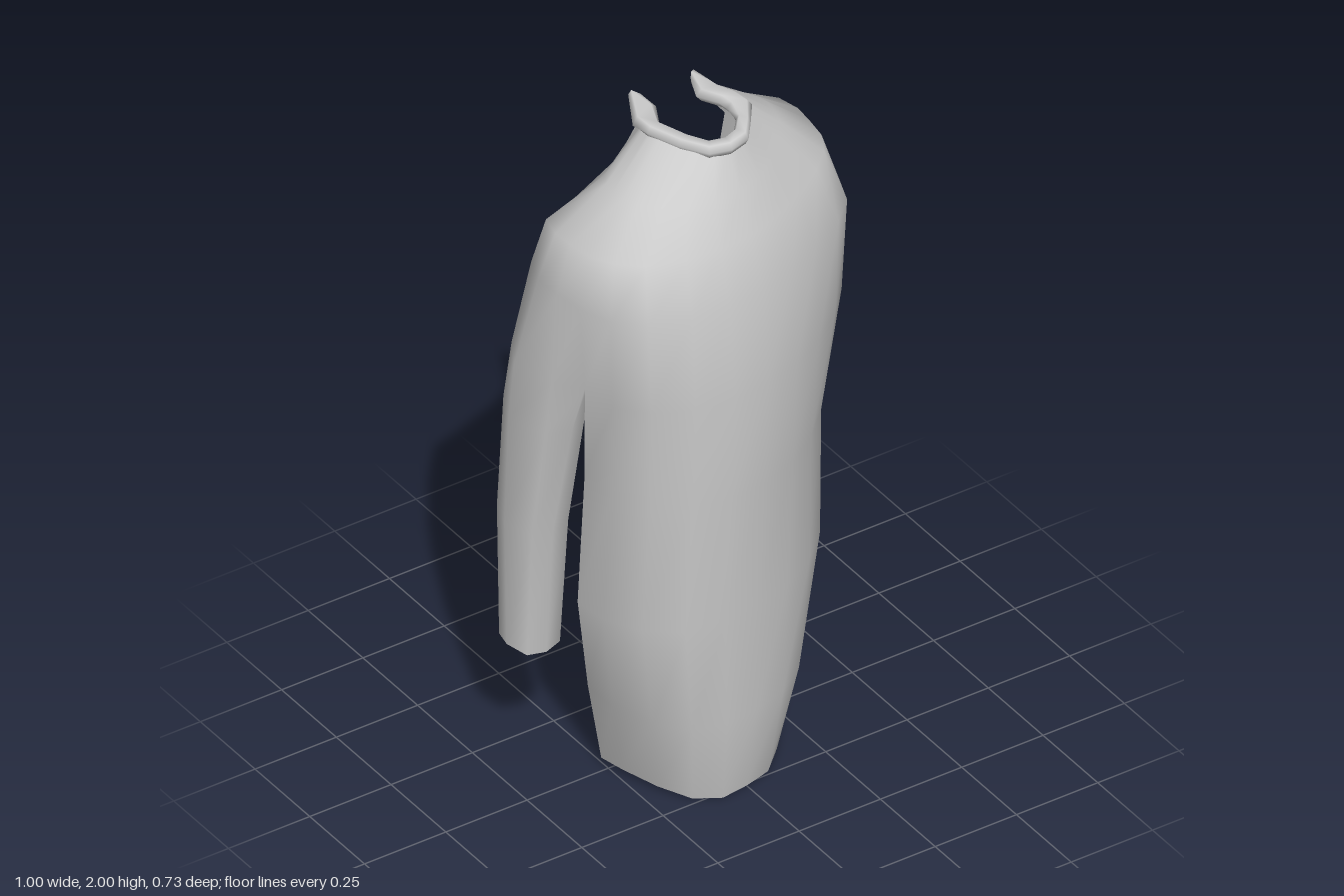
import * as THREE from 'three';

const cloth = new THREE.MeshStandardMaterial({ color: 0xcccccc, side: THREE.DoubleSide });

// Skin rows of points (top to bottom); null entries leave a gap
function loft(name, rows, closed = false) {
  const positions = [], index = [];
  const ids = rows.map(row => row.map(p => (p ? positions.push(...p) / 3 - 1 : -1)));
  for (let r = 0; r < ids.length - 1; r++) {
    const n = ids[r].length;
    for (let c = 0; c < (closed ? n : n - 1); c++) {
      const k = (c + 1) % n;
      const a = ids[r][c], b = ids[r][k], d = ids[r + 1][c], e = ids[r + 1][k];
      if (Math.min(a, b, d, e) >= 0) index.push(a, d, b, d, e, b);
    }
  }
  const g = new THREE.BufferGeometry();
  g.setAttribute('position', new THREE.Float32BufferAttribute(positions, 3));
  g.setIndex(index);
  g.computeVertexNormals();
  const mesh = new THREE.Mesh(g, cloth);
  mesh.name = name;
  return mesh;
}

// Share normals where parts meet, so the seams shade smoothly
function blendSeams(meshes) {
  const sums = new Map();
  const visit = fn => meshes.forEach(({ geometry: { attributes: { position, normal } } }) => {
    for (let i = 0; i < position.count; i++) {
      const key = [position.getX(i), position.getY(i), position.getZ(i)].map(v => v.toFixed(4)).join();
      fn(key, normal, i);
    }
  });
  visit((key, normal, i) => {
    if (!sums.has(key)) sums.set(key, new THREE.Vector3());
    sums.get(key).add(new THREE.Vector3().fromBufferAttribute(normal, i));
  });
  visit((key, normal, i) => {
    const n = sums.get(key).clone().normalize();
    normal.setXYZ(i, n.x, n.y, n.z);
  });
}

// Place a half-section point on one side; the garment hangs twisted, its left side further back
const place = ([x, z], y, side, tilt = 0) => [side * x, y - tilt * z, z - side * Math.min(0.2 * x, 0.055)];

// Half sections from centre front to underarm, then round the shoulder to the back edge
const shoulderRows = [
  { y: 1.965, tilt: 0.08, p: [[0, .175], [.04, .165], [.08, .13], [.11, .08], [.13, .03], [.135, 0],
    [.12, -.02], [.11, -.04], [.1, -.055], [.095, -.07], [.09, -.085]] },
  { y: 1.85, p: [[0, .23], [.08, .22], [.15, .185], [.21, .14], [.255, .09], [.27, .04],
    [.275, 0], [.265, -.04], [.25, -.07], [.2, -.095], [.16, -.11]] },
  { y: 1.74, p: [[0, .28], [.1, .27], [.2, .24], [.3, .19], [.36, .135], [.395, .07],
    [.405, 0], [.41, -.06], [.395, -.125], [.32, -.145], [.245, -.155]] },
  { y: 1.6, p: [[0, .335], [.11, .325], [.22, .295], [.33, .245], [.4, .18], [.435, .09],
    [.445, 0], [.45, -.08], [.42, -.155], [.34, -.19], [.235, -.175]] },
  { y: 1.32, p: [[0, .36], [.11, .35], [.22, .31], [.32, .245], [.39, .17], [.4, .06],
    [.455, -.01], [.49, -.13], [.44, -.215], [.35, -.268], [.225, -.205]] },
];

// Half sections of the open-backed skirt, centre front to back edge
const skirtRows = [
  { y: 1.0, p: [[0, .345], [.11, .33], [.21, .285], [.3, .21], [.35, .11], [.36, 0]] },
  { y: 0.6, p: [[0, .31], [.11, .305], [.22, .265], [.31, .19], [.365, .09], [.375, -.01]] },
  { y: 0.27, p: [[0, .31], [.1, .3], [.19, .255], [.26, .165], [.3, .04], [.3, -.075]] },
  { y: 0.021, tilt: 0.08, p: [[0, .26], [.08, .255], [.15, .205], [.2, .11], [.24, 0], [.26, -.07]] },
];

// Sleeve loops, starting at the underarm and going round the outside
const sleeveRows = [
  { y: 1.32, p: [...shoulderRows[4].p.slice(5), [.265, -.1], [.33, 0]] },
  { y: 1.15, p: [[.4, 0], [.46, -.03], [.5, -.14], [.455, -.23], [.37, -.275], [.26, -.21],
    [.28, -.12], [.34, -.03]] },
  { y: 0.8, p: [[.41, -.07], [.465, -.085], [.492, -.17], [.465, -.245], [.38, -.285], [.29, -.235],
    [.305, -.16], [.35, -.09]] },
  { y: 0.39, p: [[.4, -.115], [.45, -.13], [.465, -.2], [.455, -.25], [.37, -.3], [.31, -.255],
    [.315, -.19], [.345, -.135]] },
];

// Collar stations: inner x, z then outer x, z
const collarStations = [
  [-.085, -.085, -.105, -.125], [-.07, -.05, -.165, -.015], [-.105, .02, -.15, .03], [-.07, .1, -.11, .115],
  [-.04, .145, -.06, .18], [0, .155, 0, .195], [.04, .14, .06, .18], [.075, .1, .1, .13],
  [.08, .05, .145, .07], [.075, .02, .135, .02], [.04, -.03, .115, -.02], [.07, -.1, .085, -.105],
];

export function createModel() {
  const group = new THREE.Group();
  group.name = 'openBackGown';

  // Body: front, shoulders and skirt in one sheet, open down the back
  const columns = shoulderRows[0].p.length;
  const bodyRows = [...shoulderRows, ...skirtRows].map(({ y, tilt, p }) => {
    const half = side => Array.from({ length: columns }, (_, i) => (p[i] ? place(p[i], y, side, tilt) : null));
    return [...half(-1).slice(1).reverse(), ...half(1)];
  });
  const body = loft('gownBody', bodyRows);

  // Sleeves: open tubes hanging from the shoulders
  const sleeves = [1, -1].map(side => {
    const rows = sleeveRows.map(({ y, p }) => {
      const loop = p.map(q => place(q, y, side));
      return side > 0 ? loop : loop.reverse();
    });
    return loft(side > 0 ? 'leftSleeve' : 'rightSleeve', rows, true);
  });
  blendSeams([body, ...sleeves]);

  // Collar: padded band, split at the back
  const collarRows = collarStations.map(([xi, zi, xo, zo]) => {
    const at = (t, h) => {
      const x = xi + (xo - xi) * t, z = zi + (zo - zi) * t;
      return [x, 1.973 - 0.08 * z + h, z];
    };
    return [at(0, 0), at(0.2, 0.018), at(0.8, 0.018), at(1, 0), at(0.8, -0.018), at(0.2, -0.018)];
  });

  group.add(body, ...sleeves, loft('collar', collarRows, true));
  return group;
}
